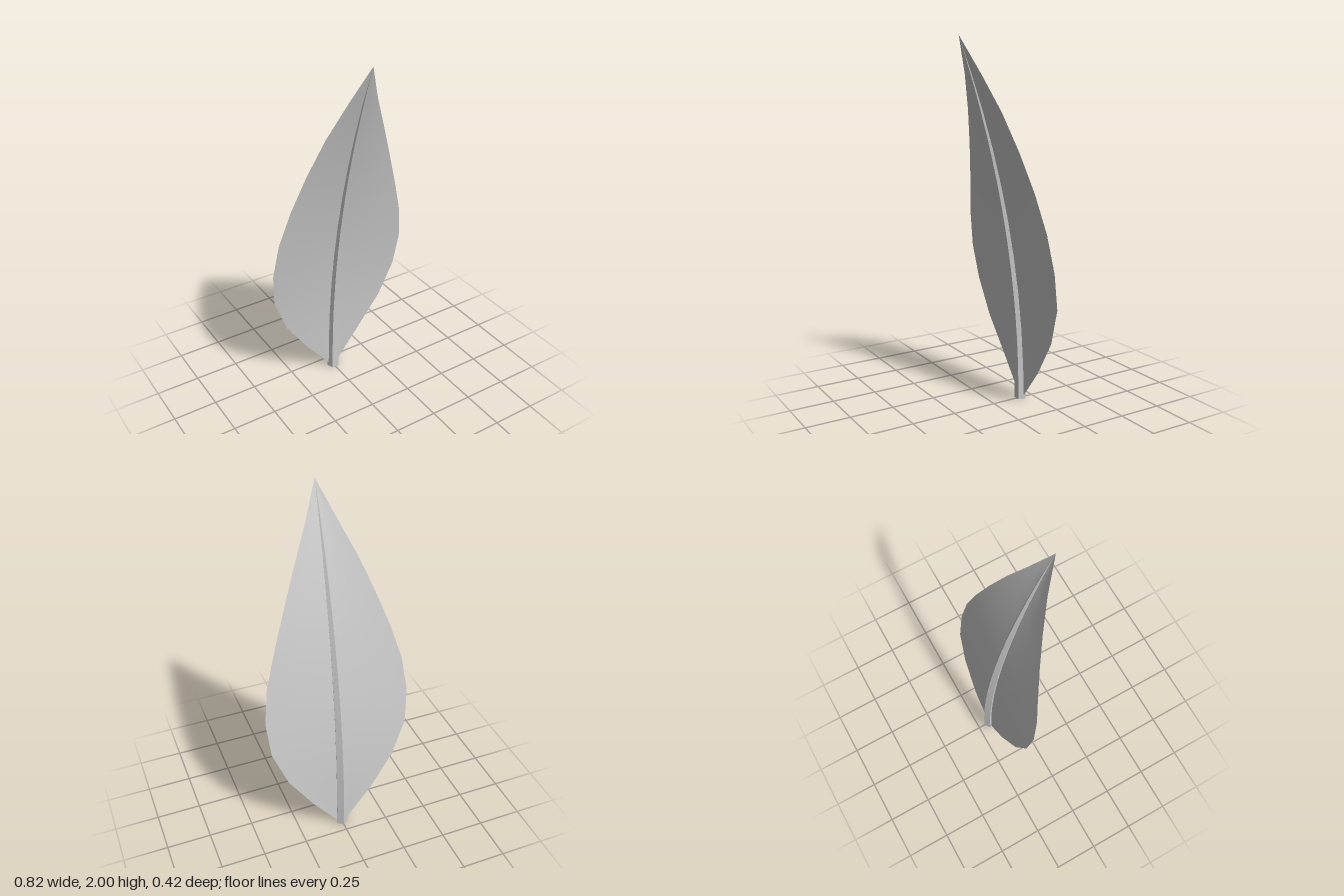
import * as THREE from 'three';

// Height, half width and edge depth at each station along the leaf
const STATIONS = [
  [0, 0.012, -0.18], [0.2, 0.17, -0.178], [0.41, 0.312, -0.161], [0.62, 0.394, -0.138],
  [0.82, 0.41, -0.106], [1.02, 0.382, -0.076], [1.22, 0.322, -0.042], [1.42, 0.25, 0.003],
  [1.62, 0.17, 0.058], [1.81, 0.083, 0.126], [2, 0, 0.206],
];

// Forward bend shared by the blade and the midrib
const bend = (y) => -0.177 + 0.383 * (y / 2) ** 2;
const slope = (y) => 0.383 * y / 2;

// Joins rows of equal length into a surface
function loft(rows) {
  const n = rows[0].length;
  const index = [];
  for (let i = 0; i < rows.length - 1; i++) {
    for (let j = 0; j < n - 1; j++) {
      const a = i * n + j, b = a + 1, c = a + n, d = c + 1;
      index.push(a, b, d, a, d, c);
    }
  }
  const geometry = new THREE.BufferGeometry();
  geometry.setAttribute('position', new THREE.Float32BufferAttribute(rows.flat(2), 3));
  geometry.setIndex(index);
  geometry.computeVertexNormals();
  return geometry;
}

// Thin curved blade, pointed at both ends
function bladeGeometry() {
  return loft(STATIONS.map(([y, w, edgeZ]) =>
    [-1, -0.5, 0, 0.5, 1].map((s) =>
      [s * w, y, THREE.MathUtils.lerp(bend(y), edgeZ, s * s)])));
}

// Five-sided rib with its ridge to the back, tapering to the tip
function ribGeometry() {
  const rows = [];
  for (let i = 0; i <= 16; i++) {
    const y = i / 8;
    const r = 0.035 * (1 - (y / 2) ** 2);
    const k = Math.hypot(1, slope(y));
    const row = [];
    for (let j = 0; j <= 5; j++) {
      const a = (j / 5) * Math.PI * 2;
      const depth = -r * Math.cos(a);
      row.push([-r * Math.sin(a), y - depth * slope(y) / k, bend(y) + depth / k]);
    }
    rows.push(row);
  }
  // Closed base
  rows.unshift(rows[0].map(() => [0, 0, bend(0)]));
  return loft(rows).toNonIndexed();
}

export function createModel() {
  const model = new THREE.Group();
  model.name = 'leaf';

  const blade = new THREE.Mesh(bladeGeometry(),
    new THREE.MeshStandardMaterial({ color: 0xcccccc, side: THREE.DoubleSide }));
  blade.name = 'blade';

  const rib = new THREE.Mesh(ribGeometry(),
    new THREE.MeshStandardMaterial({ color: 0xcccccc, flatShading: true, side: THREE.DoubleSide }));
  rib.geometry.computeVertexNormals();
  rib.name = 'midrib';

  model.add(blade, rib);
  return model;
}
